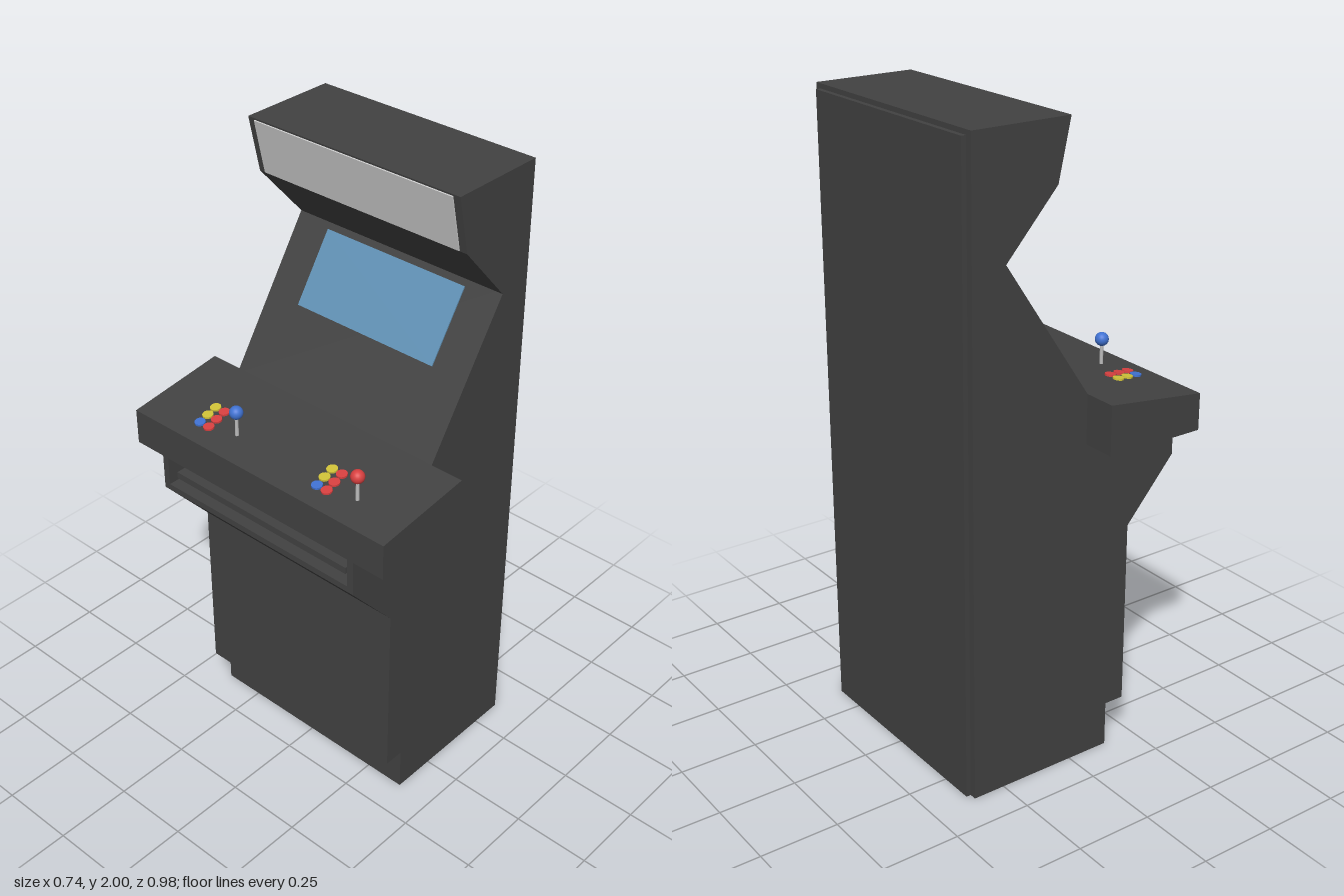
import * as THREE from 'three';

const mat = (name, color) => {
  const m = new THREE.MeshStandardMaterial({ color });
  m.name = name;
  return m;
};

export function createModel() {
  const black = mat('cabinetBlack', 0x424242);
  const marqueeGrey = mat('marqueeGrey', 0xcccccc);
  const screenBlue = mat('screenBlue', 0x6090b4);
  const red = mat('red', 0xd84040);
  const blue = mat('blue', 0x4072d2);
  const yellow = mat('yellow', 0xd0c238);
  const steel = mat('steel', 0xbcbcbc);

  const model = new THREE.Group();
  model.name = 'arcadeCabinet';

  const add = (name, geometry, material, x = 0, y = 0, z = 0, parent = model) => {
    const mesh = new THREE.Mesh(geometry, material);
    mesh.name = name;
    mesh.position.set(x, y, z);
    parent.add(mesh);
    return mesh;
  };
  // Extrudes an x/y outline from z0 to z1
  const slab = (name, pts, z0, z1) => {
    const shape = new THREE.Shape(pts.map(([x, y]) => new THREE.Vector2(x, y)));
    return add(name, new THREE.ExtrudeGeometry(shape, { depth: z1 - z0, bevelEnabled: false }), black, 0, 0, z0);
  };
  // Thin plate lying on the slope a-b, between fractions t0 and t1
  const plate = (name, a, b, t0, t1, width, material) => {
    const dx = b[0] - a[0], dy = b[1] - a[1], t = (t0 + t1) / 2;
    const geo = new THREE.BoxGeometry(Math.hypot(dx, dy) * (t1 - t0), 0.008, width);
    add(name, geo, material, a[0] + dx * t, a[1] + dy * t).rotation.z = Math.atan2(dy, dx);
  };

  // Side panels
  const deskBack = [-0.04, 1.2], screenTop = [0.245, 1.63];
  const hoodLow = [0.075, 1.82], hoodTop = [0.035, 2];
  const outline = [
    [-0.14, 0], [0.355, 0], [0.355, 2], hoodTop, hoodLow, screenTop, deskBack,
    [-0.04, 1.045], [-0.37, 1.045], [-0.37, 0.93], [-0.205, 0.74], [-0.205, 0.145], [-0.14, 0.145],
  ];
  slab('leftSidePanel', outline, 0.36, 0.382);
  slab('rightSidePanel', outline, -0.382, -0.36);

  // Hollow shell between the sides, open below, with a recess under the desk
  slab('shell', [
    [0.355, 0], [0.355, 2], hoodTop, hoodLow, screenTop, deskBack,
    [-0.04, 1.045], [-0.15, 1.045], [-0.15, 0.95], [-0.37, 0.95], [-0.37, 0.93],
    [-0.205, 0.74], [-0.205, 0.145], [-0.14, 0.145], [-0.14, 0],
    [-0.12, 0], [-0.12, 0.165], [-0.185, 0.165], [-0.185, 0.75], [-0.33, 0.92], [-0.13, 0.93],
    [-0.13, 1.025], [-0.02, 1.025], [-0.02, 1.19], [0.27, 1.63], [0.095, 1.83],
    [0.06, 1.98], [0.335, 1.98], [0.335, 0],
  ], -0.36, 0.36);
  add('backPanel', new THREE.BoxGeometry(0.015, 1.985, 0.72), black, 0.3625, 0.9925, 0);
  add('recessTray', new THREE.BoxGeometry(0.18, 0.022, 0.68), black, -0.265, 0.985, 0);

  // Lit sign and screen
  plate('marquee', hoodLow, hoodTop, 0.02, 0.97, 0.715, marqueeGrey);
  plate('screen', deskBack, screenTop, 0.49, 0.96, 0.52, screenBlue);

  // Control desk
  slab('controlDesk', [[-0.37, 1.045], deskBackLow(), deskBack, [-0.37, 1.16]], -0.49, 0.49);
  function deskBackLow() { return [-0.04, 1.045]; }
  const slope = 0.04 / 0.33;
  const deskY = (x) => 1.16 + (x + 0.37) * slope;

  // Two sets of a joystick and six buttons
  const buttonGeo = new THREE.CylinderGeometry(0.017, 0.017, 0.012, 20);
  const ballGeo = new THREE.SphereGeometry(0.021, 24, 16);
  const stickGeo = new THREE.CylinderGeometry(0.005, 0.006, 0.075, 12);
  for (const [name, z, ballMat] of [['leftControls', 0.31, red], ['rightControls', -0.16, blue]]) {
    const controls = new THREE.Group();
    controls.name = name;
    controls.position.z = z;
    model.add(controls);
    add('stick', stickGeo, steel, -0.272, 1.205, 0, controls);
    add('stickBall', ballGeo, ballMat, -0.272, 1.25, 0, controls);
    [-0.297, -0.259, -0.221].forEach((x, i) => {
      const outer = add('button', buttonGeo, i ? yellow : blue, x, deskY(x), -0.129 - i * 0.006, controls);
      const inner = add('button', buttonGeo, red, x, deskY(x), -0.092 - i * 0.006, controls);
      outer.rotation.z = inner.rotation.z = Math.atan(slope);
    });
  }
  return model;
}
